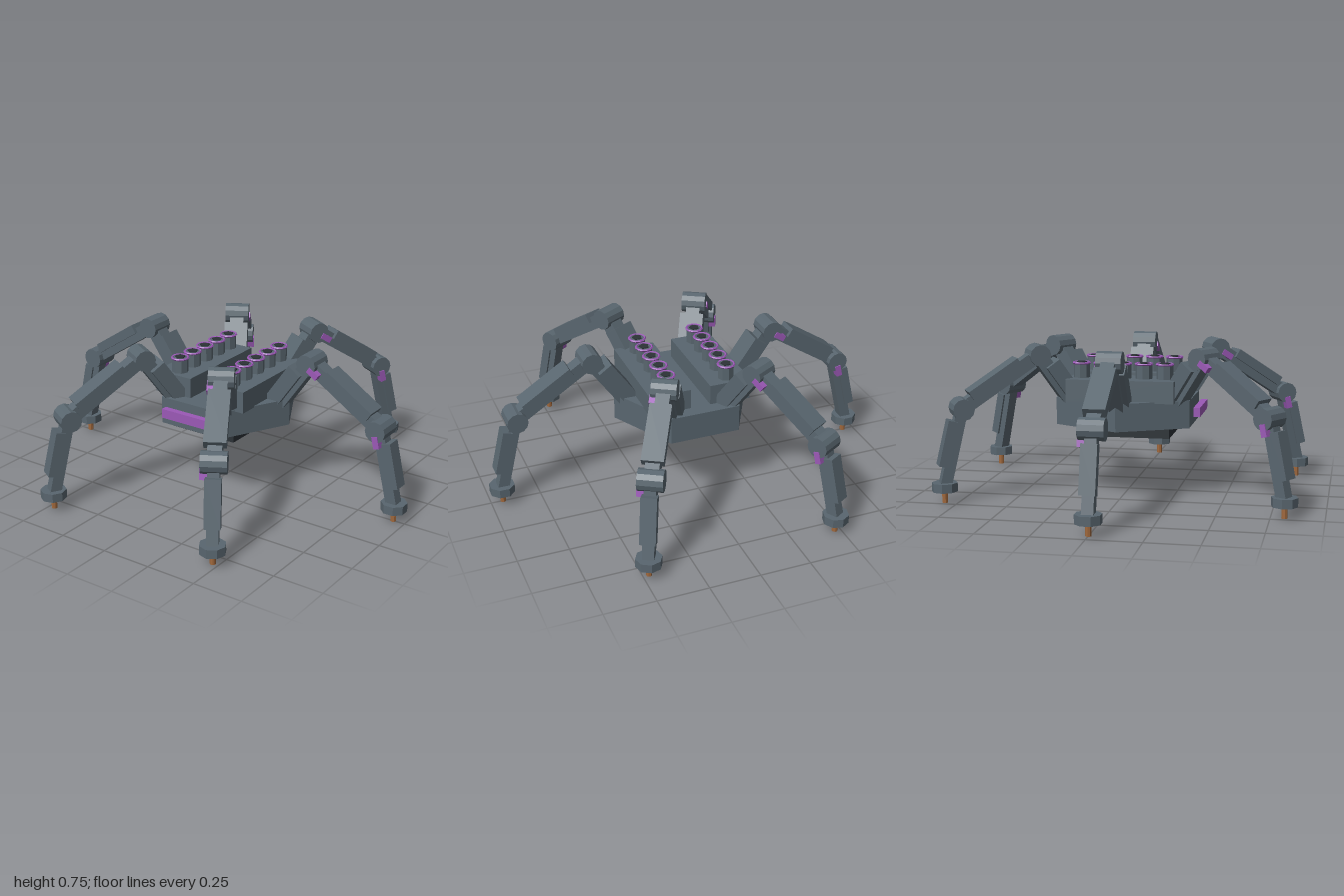
import * as THREE from 'three';

const paint = (color) => new THREE.MeshStandardMaterial({ color, flatShading: true });
const steel = paint(0x59666f);
const dark = paint(0x2c3236);
const purple = paint(0x9b59b6);
const copper = paint(0xa0683c);

function add(parent, name, geometry, material, x = 0, y = 0, z = 0) {
  const mesh = new THREE.Mesh(geometry, material);
  mesh.name = name;
  mesh.position.set(x, y, z);
  parent.add(mesh);
  return mesh;
}

const box = (w, h, d) => new THREE.BoxGeometry(w, h, d);
const cyl = (r, h, sides) => new THREE.CylinderGeometry(r, r, h, sides);

// Limb group whose local +x runs from a to b, with +y on the armoured side
function limb(parent, name, a, b) {
  const group = new THREE.Group();
  group.name = name;
  group.position.set(a[0], a[1], 0);
  group.rotation.z = Math.atan2(b[1] - a[1], b[0] - a[0]);
  parent.add(group);
  return { group, length: Math.hypot(b[0] - a[0], b[1] - a[1]) };
}

function strutAndArmour(parent, name, a, b, o) {
  const { group, length } = limb(parent, name, a, b);
  add(group, name + 'Strut', box(length, o.strut, o.strut), steel, length / 2);
  add(group, name + 'Armour', box(o.to - o.from, o.high - o.low, o.width), steel,
    (o.from + o.to) / 2, (o.low + o.high) / 2);
  // Small actuator on one side of the joint
  if (o.actuator) add(group, name + 'Actuator', box(0.06, 0.03, 0.035), purple, 0.05, -0.005, 0.047);
}

// Leg built in the x-y plane, reaching out along +x
function makeLeg() {
  const leg = new THREE.Group();
  leg.name = 'leg';
  const hip = [0.28, 0.43], knee = [0.47, 0.70], ankle = [0.85, 0.455], foot = [0.937, 0.09];

  strutAndArmour(leg, 'hip', hip, knee,
    { strut: 0.07, from: 0.03, to: 0.26, low: -0.01, high: 0.065, width: 0.12 });
  strutAndArmour(leg, 'upperLeg', knee, ankle,
    { strut: 0.066, from: 0.10, to: 0.385, low: 0.008, high: 0.055, width: 0.104, actuator: true });
  strutAndArmour(leg, 'lowerLeg', ankle, foot,
    { strut: 0.055, from: 0.065, to: 0.29, low: 0.008, high: 0.056, width: 0.075, actuator: true });

  for (const [name, p] of [['kneeJoint', knee], ['ankleJoint', ankle]]) {
    add(leg, name, cyl(0.052, 0.12, 12), steel, p[0], p[1]).rotation.x = Math.PI / 2;
  }
  add(leg, 'footPad', cyl(0.063, 0.043, 8), steel, 0.94, 0.078).rotation.y = Math.PI / 8;
  add(leg, 'footSpike', cyl(0.014, 0.06, 8), copper, 0.94, 0.03);
  return leg;
}

// Launch tube with a ring at its mouth and a dark core
function makeTube() {
  const tube = new THREE.Group();
  tube.name = 'launchTube';
  add(tube, 'tubeBarrel', cyl(0.041, 0.075, 8), steel, 0, 0.0375);
  add(tube, 'tubeRing', new THREE.TorusGeometry(0.04, 0.006, 5, 12), purple, 0, 0.073).rotation.x = Math.PI / 2;
  add(tube, 'tubeCore', cyl(0.026, 0.02, 5), dark, 0, 0.07);
  return tube;
}

export function createModel() {
  const model = new THREE.Group();
  model.name = 'sixLeggedWalker';

  // Hexagonal hull with points to the sides
  const hull = add(model, 'hull', cyl(0.35, 0.135, 6).rotateY(Math.PI / 6), steel, 0, 0.4175);
  hull.scale.z = 0.33 / (0.35 * Math.cos(Math.PI / 6));
  add(model, 'bellyPlate', box(0.36, 0.065, 0.465), dark, 0, 0.3275);
  add(model, 'frontVisor', box(0.28, 0.046, 0.032), purple, 0, 0.423, 0.361);

  // Launcher blocks on both sides, five tubes each
  for (const side of [-1, 1]) {
    add(model, 'launcherBlock', box(0.208, 0.107, 0.53), steel, side * 0.154, 0.5315);
    for (let i = -2; i <= 2; i++) {
      const tube = makeTube();
      tube.position.set(side * 0.154, 0.583, i * 0.103);
      model.add(tube);
    }
  }

  // Six legs evenly around the hull
  for (let i = 0; i < 6; i++) {
    const leg = makeLeg();
    leg.rotation.y = (i * Math.PI) / 3;
    model.add(leg);
  }
  return model;
}
